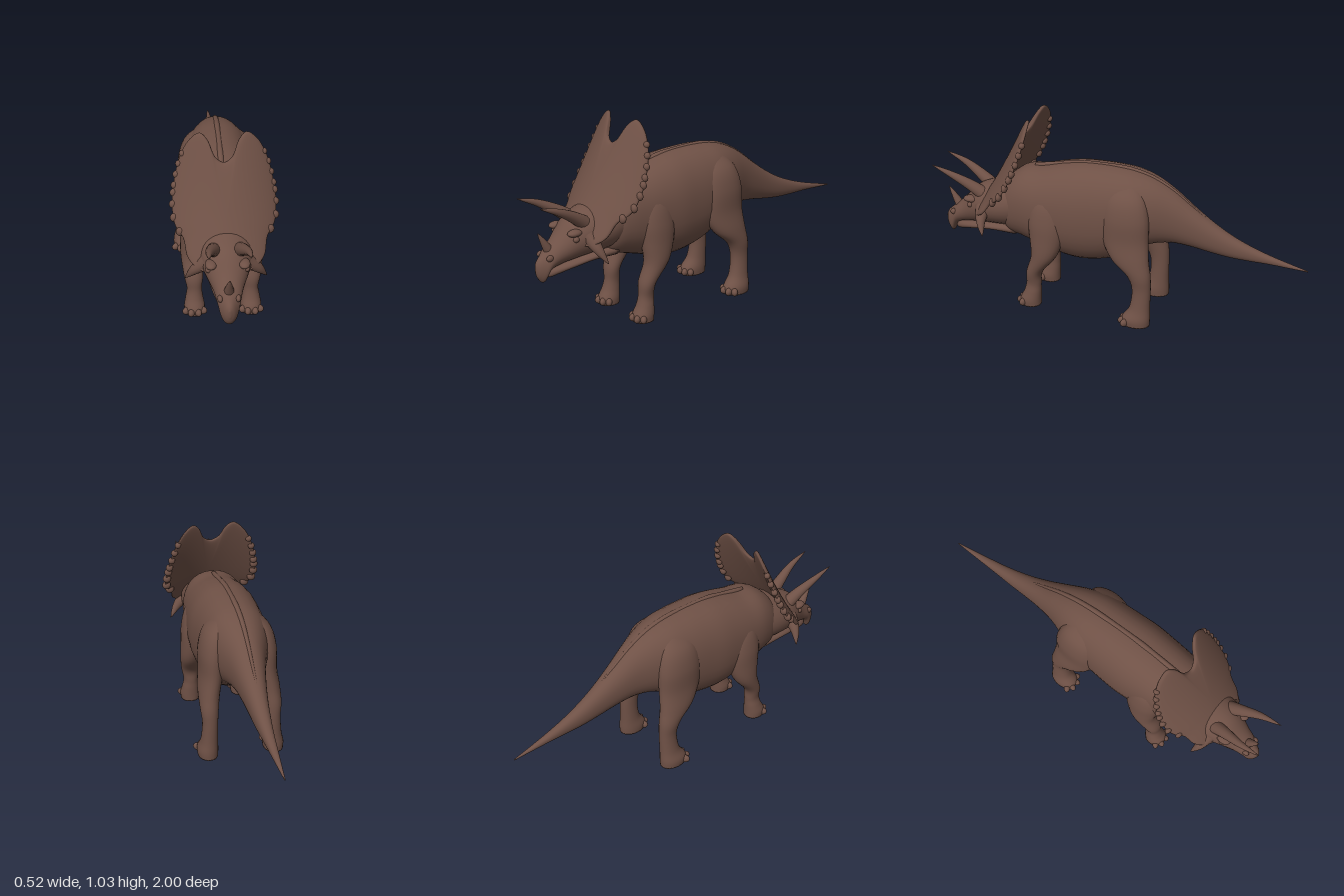
import * as THREE from 'three';
import { mergeVertices } from 'three/addons/utils/BufferGeometryUtils.js';

const hide = new THREE.MeshStandardMaterial({ color: 0x6f5146 });
hide.name = 'brown hide';

// Closed skin over rings of points; each ring runs counter-clockwise against the direction of advance
function skin(rows, cols, point) {
  const pos = [], index = [];
  for (let i = 0; i < rows; i++) for (let j = 0; j < cols; j++) pos.push(...point(i, j));
  for (let i = 0; i < rows - 1; i++) for (let j = 0; j < cols; j++) {
    const k = (j + 1) % cols, a = i * cols + j, b = i * cols + k, c = a + cols, d = b + cols;
    index.push(a, b, c, b, d, c);
  }
  let g = new THREE.BufferGeometry();
  g.setAttribute('position', new THREE.Float32BufferAttribute(pos, 3));
  g.setIndex(index);
  g = mergeVertices(g, 1e-5);
  g.computeVertexNormals();
  return g;
}

// Smooth loft through sections [x, y, z, radius, radius], ascending along axis 'y' or 'z'
function loft(sections, axis, square = 1, cols = 32) {
  const curve = (f) => new THREE.CatmullRomCurve3(sections.map(f), false, 'catmullrom', 0.5);
  const centre = curve((s) => new THREE.Vector3(s[0], s[1], s[2]));
  const radii = curve((s) => new THREE.Vector3(s[3], s[4], 0));
  const n = (sections.length - 1) * 6;
  const bend = (v) => Math.sign(v) * Math.abs(v) ** square;
  return skin(n + 3, cols, (i, j) => {
    const t = THREE.MathUtils.clamp((i - 1) / n, 0, 1);
    const c = centre.getPoint(t), r = radii.getPoint(t);
    const cap = i === 0 || i === n + 2 ? 0 : 1;
    const a = (j / cols) * Math.PI * 2;
    const u = cap * Math.max(r.x, 0.001) * bend(Math.cos(a));
    const v = cap * Math.max(r.y, 0.001) * bend(Math.sin(a));
    return axis === 'z' ? [c.x + u, c.y + v, c.z] : [c.x + u, c.y, c.z - v];
  });
}

// Loft along z from rows of [z, top, bottom, half width]
const profile = (rows, square) => loft(
  rows.map(([z, top, low, w]) => [0, (top + low) / 2, z, w, (top - low) / 2]), 'z', square);

// Curved horn tapering to a point
function horn(points, radius) {
  const curve = new THREE.CatmullRomCurve3(points.map((p) => new THREE.Vector3(...p)));
  const n = 20;
  let g = new THREE.TubeGeometry(curve, n, radius, 14);
  const p = g.attributes.position, v = new THREE.Vector3();
  for (let i = 0; i < p.count; i++) {
    const t = Math.floor(i / 15) / n, c = curve.getPointAt(t);
    v.fromBufferAttribute(p, i).sub(c).multiplyScalar(Math.max((1 - t) ** 0.75, 0.02)).add(c);
    p.setXYZ(i, v.x, v.y, v.z);
  }
  g.deleteAttribute('uv');
  g.deleteAttribute('normal');
  g = mergeVertices(g, 1e-6);
  g.computeVertexNormals();
  return g;
}

export function createModel() {
  const model = new THREE.Group();
  model.name = 'hornedDinosaur';
  const add = (name, geometry, parent = model) => {
    const m = new THREE.Mesh(geometry, hide);
    m.name = name;
    parent.add(m);
    return m;
  };
  const blob = (name, x, y, z, a, b, c, parent) => {
    const m = add(name, new THREE.SphereGeometry(1, 16, 12), parent);
    m.position.set(x, y, z);
    m.scale.set(a, b, c);
    return m;
  };

  // Trunk and tail
  add('bodyAndTail', profile([
    [-1, 0.367, 0.361, 0.003], [-0.9, 0.392, 0.368, 0.012], [-0.8, 0.42, 0.374, 0.021],
    [-0.7, 0.455, 0.376, 0.03], [-0.6, 0.50, 0.381, 0.041], [-0.5, 0.56, 0.395, 0.053],
    [-0.4, 0.632, 0.413, 0.07], [-0.3, 0.708, 0.422, 0.094], [-0.2, 0.763, 0.405, 0.13],
    [-0.1, 0.792, 0.355, 0.165], [0, 0.802, 0.30, 0.178], [0.1, 0.803, 0.272, 0.185],
    [0.2, 0.797, 0.265, 0.19], [0.3, 0.778, 0.28, 0.184], [0.4, 0.752, 0.31, 0.175],
    [0.5, 0.735, 0.34, 0.16], [0.58, 0.68, 0.36, 0.13], [0.64, 0.6, 0.42, 0.07],
  ], 0.9));
  add('spineRidge', profile([
    [-0.5, 0.558, 0.53, 0.006], [-0.4, 0.636, 0.6, 0.01], [-0.3, 0.714, 0.67, 0.013],
    [-0.2, 0.769, 0.73, 0.015], [-0.1, 0.798, 0.76, 0.016], [0, 0.808, 0.77, 0.016],
    [0.2, 0.803, 0.77, 0.016], [0.3, 0.784, 0.75, 0.015], [0.45, 0.755, 0.72, 0.012],
  ]));

  // Skull with hooked beak, and lower jaw
  add('skull', profile([
    [0.5, 0.68, 0.40, 0.14], [0.6, 0.65, 0.39, 0.145], [0.7, 0.62, 0.385, 0.13],
    [0.78, 0.583, 0.375, 0.102], [0.85, 0.51, 0.365, 0.072], [0.905, 0.458, 0.345, 0.056],
    [0.935, 0.432, 0.292, 0.042], [0.96, 0.408, 0.315, 0.025], [0.972, 0.385, 0.35, 0.006],
  ]));
  add('lowerJaw', profile([
    [0.55, 0.43, 0.345, 0.1], [0.68, 0.41, 0.35, 0.09], [0.78, 0.39, 0.335, 0.07],
    [0.86, 0.37, 0.318, 0.045], [0.9, 0.355, 0.31, 0.026], [0.92, 0.335, 0.318, 0.006],
  ]));
  add('noseHorn', horn([[0, 0.42, 0.88], [0, 0.48, 0.915], [0, 0.547, 0.955]], 0.03));

  // Neck frill: a bent shield with a notched top
  const half = [[0.04, 0.932], [0.075, 1.005], [0.11, 1.033], [0.16, 0.995], [0.2, 0.925],
    [0.225, 0.85], [0.24, 0.775], [0.248, 0.7], [0.238, 0.62], [0.2, 0.575], [0.18, 0.5], [0.11, 0.46]];
  const outline = new THREE.CatmullRomCurve3([
    [0, 0.91], ...half, [0, 0.47], ...half.map(([x, y]) => [-x, y]).reverse(),
  ].map(([x, y]) => new THREE.Vector3(x, y, 0)), true);
  const frillZ = (x, y) => {
    const d = 1.035 - y;
    return 0.458 + 0.4 * d + 0.25 * d * d - 1.5 * x * x;
  };
  const rim = outline.getPoints(120).slice(0, 120);
  const rings = 24;
  add('frill', skin(rings + 1, rim.length, (i, j) => {
    const a = (Math.PI * i) / rings, r = Math.sin(a), c = Math.cos(a);
    const x = rim[j].x * r, y = 0.68 + (rim[j].y - 0.68) * r;
    return [x, y, frillZ(x, y) + 0.02 * Math.sign(c) * Math.abs(c) ** 0.5];
  }));

  const frontLeg = [
    [0.143, 0, 0.44, 0.05, 0.055], [0.143, 0.035, 0.44, 0.052, 0.056], [0.143, 0.08, 0.428, 0.044, 0.046],
    [0.142, 0.13, 0.421, 0.038, 0.04], [0.145, 0.2, 0.414, 0.048, 0.043], [0.15, 0.3, 0.36, 0.057, 0.067],
    [0.142, 0.4, 0.345, 0.064, 0.09], [0.132, 0.5, 0.345, 0.068, 0.1], [0.11, 0.6, 0.35, 0.064, 0.085],
    [0.08, 0.69, 0.36, 0.03, 0.045],
  ];
  const hindLeg = [
    [0.175, 0, -0.155, 0.052, 0.072], [0.175, 0.04, -0.155, 0.054, 0.074], [0.17, 0.1, -0.173, 0.044, 0.054],
    [0.166, 0.2, -0.18, 0.04, 0.049], [0.166, 0.28, -0.165, 0.047, 0.062], [0.158, 0.36, -0.115, 0.055, 0.1],
    [0.142, 0.46, -0.085, 0.06, 0.122], [0.133, 0.58, -0.08, 0.067, 0.125], [0.112, 0.68, -0.075, 0.06, 0.105],
    [0.075, 0.755, -0.07, 0.028, 0.055],
  ];

  // Paired parts
  for (const side of [1, -1]) {
    const tag = side > 0 ? 'left' : 'right';
    const s = ([x, ...rest]) => [x * side, ...rest];
    const legs = [['FrontLeg', frontLeg, 0.143, 0.445], ['HindLeg', hindLeg, 0.178, -0.13]];
    for (const [label, sections, fx, fz] of legs) {
      const leg = new THREE.Group();
      leg.name = tag + label;
      model.add(leg);
      add('limb', loft(sections.map(s), 'y', 0.95, 24), leg);
      // Toes fan around the front of the foot
      for (const a of [-1.0, -0.35, 0.35, 1.0]) {
        const toe = blob('toe', side * (fx + 0.046 * Math.sin(a)), 0.021,
          fz + 0.044 * Math.cos(a), 0.017, 0.021, 0.026, leg);
        toe.rotation.y = a * side;
      }
    }
    add(tag + 'BrowHorn', horn([[0.058, 0.55, 0.71], [0.072, 0.605, 0.79], [0.09, 0.66, 0.89], [0.096, 0.703, 1.0]].map(s), 0.038));
    add(tag + 'CheekHorn', horn([[0.09, 0.5, 0.72], [0.15, 0.445, 0.71], [0.195, 0.38, 0.685]].map(s), 0.042));
    blob(tag + 'BrowRidge', side * 0.078, 0.53, 0.795, 0.028, 0.018, 0.04);
    blob(tag + 'Eye', side * 0.09, 0.5, 0.795, 0.014, 0.014, 0.016);
    blob(tag + 'Nostril', side * 0.042, 0.42, 0.915, 0.013, 0.016, 0.02);

    // Scalloped bumps on the frill edge
    for (let i = 0; i < 8; i++) {
      const y = 0.6 + i * 0.047;
      const edge = rim.filter((p) => p.x > 0.12)
        .reduce((a, b) => (Math.abs(b.y - y) < Math.abs(a.y - y) ? b : a));
      const size = 0.024 - 0.001 * i;
      blob(tag + 'FrillBump', side * (edge.x - 0.008), edge.y, frillZ(edge.x, edge.y), size, size, 0.016);
    }
  }
  return model;
}
